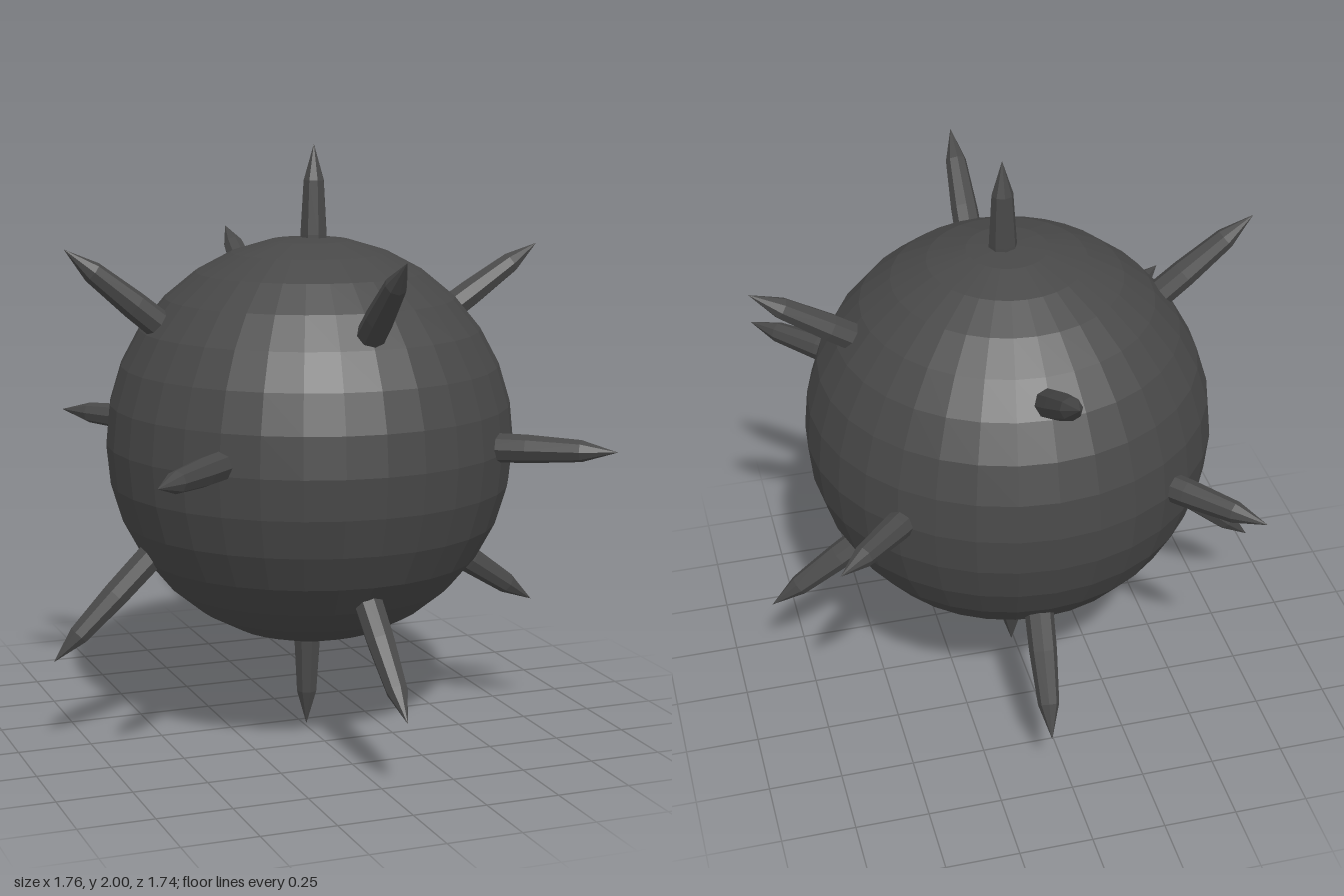
import * as THREE from 'three';

export function createModel() {
  const group = new THREE.Group();
  const iron = new THREE.MeshStandardMaterial({ color: 0x484848 });
  iron.name = 'darkIron';

  // Faceted surface: every triangle keeps its own normal
  const faceted = (geometry) => {
    const flat = geometry.toNonIndexed();
    flat.computeVertexNormals();
    return flat;
  };

  // Round body
  const body = new THREE.Mesh(faceted(new THREE.SphereGeometry(0.69, 32, 16)), iron);
  body.name = 'body';
  body.position.set(0.025, 1.005, 0.037);
  group.add(body);

  // Eight-sided spike, point at the origin, shaft running down -y
  const profile = [[0, -0.5], [0.05, -0.5], [0.047, -0.3], [0.036, -0.12], [0, 0]];
  const spikeGeometry = faceted(
    new THREE.LatheGeometry(profile.map(([r, y]) => new THREE.Vector2(r, y)), 8)
  );

  // Each spike: where it leaves the body, then its point
  const spikes = {
    topSpike: [[0.038, 1.69, 0.04], [0.04, 2, 0.037]],
    bottomSpike: [[0.015, 0.32, 0.045], [0.01, 0, 0.05]],
    upperLeftSpike: [[0.55, 1.43, 0.03], [0.875, 1.64, 0.025]],
    upperRightSpike: [[-0.515, 1.43, 0.042], [-0.82, 1.68, 0.04]],
    lowerLeftSpike: [[0.57, 0.57, 0.035], [0.88, 0.36, 0.03]],
    lowerRightSpike: [[-0.57, 0.62, 0.045], [-0.885, 0.315, 0.05]],
    upperFrontSpike: [[0.028, 1.435, 0.575], [0.02, 1.69, 0.87]],
    upperBackSpike: [[0.025, 1.42, -0.49], [0.035, 1.65, -0.87]],
    lowerFrontSpike: [[0.042, 0.54, 0.54], [0.045, 0.24, 0.85]],
    lowerBackSpike: [[0.045, 0.535, -0.475], [0.065, 0.21, -0.72]],
    middleFrontLeftSpike: [[0.51, 1.03, 0.53], [0.79, 1.045, 0.8]],
    middleFrontRightSpike: [[-0.475, 1.035, 0.53], [-0.75, 1.045, 0.81]],
    middleBackLeftSpike: [[0.505, 1.01, -0.455], [0.74, 1.02, -0.68]],
    middleBackRightSpike: [[-0.42, 1.01, -0.51], [-0.63, 1.015, -0.76]],
  };

  const up = new THREE.Vector3(0, 1, 0);
  for (const [name, [root, point]] of Object.entries(spikes)) {
    const tip = new THREE.Vector3(...point);
    const direction = tip.clone().sub(new THREE.Vector3(...root)).normalize();
    const spike = new THREE.Mesh(spikeGeometry, iron);
    spike.name = name;
    spike.position.copy(tip);
    spike.quaternion.setFromUnitVectors(up, direction);
    group.add(spike);
  }

  return group;
}
